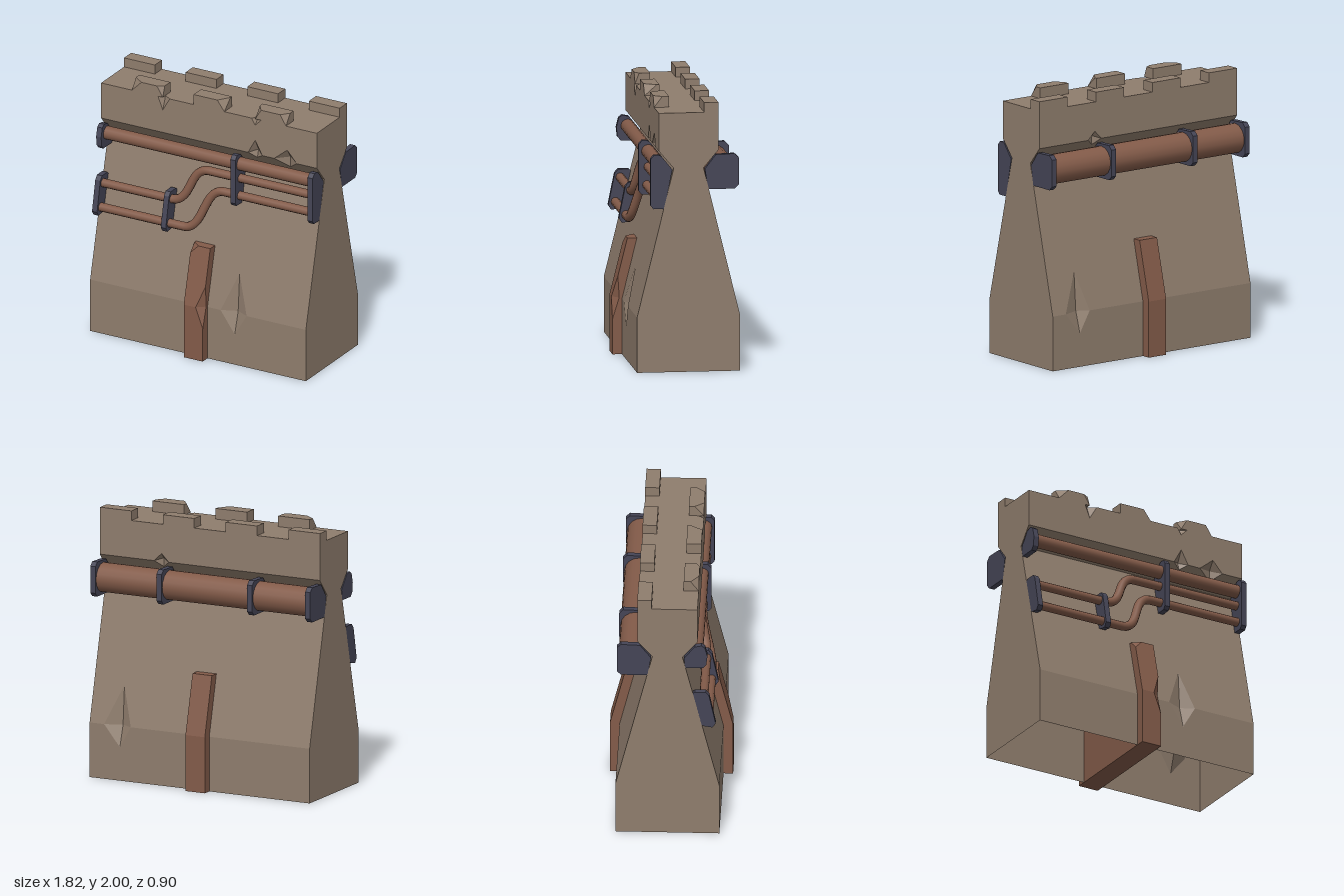
import * as THREE from 'three';
import { mergeGeometries } from 'three/addons/utils/BufferGeometryUtils.js';

const material = (name, color, side = THREE.FrontSide) => {
  const m = new THREE.MeshStandardMaterial({ color, side });
  m.name = name;
  return m;
};
const HALF = 0.91;

// Wall outline as [z, y], from the front foot over the top to the back foot
const PROFILE = [[0.38, 0], [0.38, 0.41], [0.11, 1.51], [0.22, 1.64], [0.22, 1.92],
  [-0.22, 1.92], [-0.22, 1.64], [-0.11, 1.51], [-0.38, 0.41], [-0.38, 0]];

// Chips in the wall: each sits on a profile edge and reaches into both neighbouring panels
const DENTS = [
  { edge: 1, x: [0.19, 0.31, 0.41], before: 0.17, after: 0.3, deep: [-0.05, 0] },
  { edge: 3, x: [0.33, 0.39, 0.45], before: 0.05, after: 0.11, deep: [-0.05, 0.02] },
  { edge: 3, x: [0.55, 0.66, 0.74], before: 0.08, after: 0.09, deep: [-0.05, 0.02] },
  { edge: 4, x: [-0.43, -0.39, -0.33], before: 0.1, after: 0.04, deep: [-0.03, -0.03] },
  { edge: 4, x: [0.36, 0.39, 0.44], before: 0.05, after: 0.04, deep: [-0.03, -0.02] },
  { edge: 6, x: [0.34, 0.4, 0.46], before: 0.06, after: 0.06, deep: [0.04, 0.02] },
  { edge: 8, x: [0.57, 0.66, 0.79], before: 0.3, after: 0.16, deep: [0.05, 0] },
];

function triangles(points) {
  const g = new THREE.BufferGeometry();
  g.setAttribute('position', new THREE.Float32BufferAttribute(points.flat(), 3));
  g.computeVertexNormals();
  return g;
}

// Point at x, a distance s along panel i
function onPanel(i, x, s) {
  const [a, b] = [PROFILE[i], PROFILE[i + 1]];
  const t = s / Math.hypot(b[0] - a[0], b[1] - a[1]);
  return [x, a[1] + (b[1] - a[1]) * t, a[0] + (b[0] - a[0]) * t];
}

function wallGeometry() {
  const parts = [];
  for (let i = 0; i < PROFILE.length - 1; i++) {
    const [a, b] = [PROFILE[i], PROFILE[i + 1]];
    const len = Math.hypot(b[0] - a[0], b[1] - a[1]);
    const pts = [[-HALF, 0]];
    for (const d of DENTS.filter((d) => d.edge === i))
      pts.push([d.x[0], 0], [d.x[1], d.after], [d.x[2], 0]);
    pts.push([HALF, 0], [HALF, len]);
    for (const d of DENTS.filter((d) => d.edge === i + 1).reverse())
      pts.push([d.x[2], len], [d.x[1], len - d.before], [d.x[0], len]);
    pts.push([-HALF, len]);
    const flat = new THREE.ShapeGeometry(new THREE.Shape(pts.map((p) => new THREE.Vector2(...p)))).toNonIndexed();
    const pos = flat.attributes.position;
    const out = [];
    for (let k = 0; k < pos.count; k++) out.push(onPanel(i, pos.getX(k), pos.getY(k)));
    parts.push(triangles(out));
  }
  for (const d of DENTS) {
    const [z, y] = PROFILE[d.edge];
    const prev = PROFILE[d.edge - 1];
    const len = Math.hypot(z - prev[0], y - prev[1]);
    const left = [d.x[0], y, z], right = [d.x[2], y, z];
    const low = onPanel(d.edge - 1, d.x[1], len - d.before);
    const high = onPanel(d.edge, d.x[1], d.after);
    const deep = [d.x[1], y + d.deep[1], z + d.deep[0]];
    parts.push(triangles([left, low, deep, low, right, deep, right, high, deep, high, left, deep]));
  }
  // End walls; the underside stays open
  const faces = THREE.ShapeUtils.triangulateShape(PROFILE.map((p) => new THREE.Vector2(...p)), []);
  for (const x of [-HALF, HALF])
    parts.push(triangles(faces.flat().map((k) => [x, PROFILE[k][1], PROFILE[k][0]])));
  return mergeGeometries(parts);
}

// Extrudes a [z, y] outline from x0 to x1
function slab(outline, x0, x1) {
  const shape = new THREE.Shape(outline.map((p) => new THREE.Vector2(...p)));
  return new THREE.ExtrudeGeometry(shape, { depth: x1 - x0, bevelEnabled: false })
    .rotateY(-Math.PI / 2).translate(x1, 0, 0);
}

// Rectangular section whose two front corners can be cut by [dx, dz]
function section(y, x0, x1, z0, z1, cutL = [0, 0], cutR = [0, 0]) {
  return [[x0, y, z0], [x0, y, z1 - cutL[1]], [x0 + cutL[0], y, z1],
    [x1 - cutR[0], y, z1], [x1, y, z1 - cutR[1]], [x1, y, z0]];
}

// Faceted block through stacked sections
function loft(rings) {
  const out = [];
  const n = rings[0].length;
  for (let r = 0; r < rings.length - 1; r++) {
    for (let k = 0; k < n; k++) {
      const a = rings[r][k], b = rings[r][(k + 1) % n], c = rings[r + 1][(k + 1) % n], d = rings[r + 1][k];
      out.push(a, b, c, a, c, d);
    }
  }
  const last = rings[rings.length - 1];
  for (let k = 1; k < n - 1; k++) {
    out.push(last[0], last[k], last[k + 1]);
    out.push(rings[0][0], rings[0][k + 1], rings[0][k]);
  }
  return triangles(out);
}

export function createModel() {
  const model = new THREE.Group();
  model.name = 'fortifiedWall';
  const stone = material('stone', 0x8f7d6d, THREE.DoubleSide);
  const rust = material('rust', 0x835b49);
  const iron = material('darkIron', 0x454556);
  const add = (name, geometry, mat) => {
    const mesh = new THREE.Mesh(geometry, mat);
    mesh.name = name;
    model.add(mesh);
    return mesh;
  };

  add('wall', wallGeometry(), stone);

  // Front merlons with chipped corners
  const chips = [[-0.52, [0.08, 0.06], [0.05, 0.03]], [0, [0, 0], [0.06, 0.09]], [0.52, [0.05, 0.07], [0.05, 0.06]]];
  for (const [x, l, r] of chips)
    add('frontMerlon', loft([section(1.92, x - 0.13, x + 0.13, 0.11, 0.22),
      section(2, x - 0.13, x + 0.13, 0.11, 0.22, l, r)]), stone);

  // Back merlons, offset from the front row
  for (const x of [-0.78, -0.26, 0.26, 0.78])
    add('backMerlon', new THREE.BoxGeometry(0.26, 0.072, 0.105).translate(x, 1.956, -0.1675), stone);

  // Buttresses: the plain back one runs through the wall, the front one is chipped
  add('backButtress', slab([[-0.45, 0], [0.2, 0], [0.2, 0.86], [-0.34, 0.86], [-0.45, 0.42]], -0.08, 0.08), rust);
  const rib = (y, z, l, r) => section(y, -0.08, 0.08, 0.2, z, l, r);
  add('frontButtress', loft([rib(0, 0.45), rib(0.26, 0.45), rib(0.42, 0.45, [0, 0], [0.06, 0.05]),
    rib(0.58, 0.41), rib(0.8, 0.355), rib(0.86, 0.34, [0.06, 0.05])]), rust);

  // Straight pipes
  const straightPipe = (name, y, z, radius) =>
    add(name, new THREE.CylinderGeometry(radius, radius, 1.78, 16).rotateZ(Math.PI / 2).translate(0, y, z), rust);
  straightPipe('frontMainPipe', 1.53, 0.21, 0.05);
  straightPipe('backMainPipe', 1.48, -0.25, 0.11);

  // Thin pipes stepping up along the front
  const steppedPipe = (xa, ya, za, xb, yb, zb) => {
    const v = (x, y, z) => new THREE.Vector3(x, y, z);
    const path = new THREE.CurvePath();
    const a = v(xa, ya, za), b = v(xb, yb, zb);
    path.add(new THREE.LineCurve3(v(-0.89, ya, za), a));
    path.add(new THREE.CubicBezierCurve3(a, v(xa + 0.18, ya, za), v(xb - 0.18, yb, zb), b));
    path.add(new THREE.LineCurve3(b, v(0.89, yb, zb)));
    add('steppedPipe', new THREE.TubeGeometry(path, 64, 0.033, 10), rust);
  };
  steppedPipe(-0.29, 1.15, 0.265, 0.0, 1.415, 0.21);
  steppedPipe(-0.17, 0.97, 0.3, 0.13, 1.28, 0.22);

  // Clamps holding the pipes, cut to the slope of the wall
  const clamps = [
    ['upperClamp', [0.215, 0.868], [[0.12, 1.5], [0.2, 1.6], [0.22, 1.61], [0.255, 1.61], [0.28, 1.58],
      [0.28, 1.235], [0.26, 1.21], [0.18, 1.21]]],
    ['mainPipeClamp', [-HALF], [[0.12, 1.5], [0.2, 1.6], [0.25, 1.61], [0.275, 1.59], [0.293, 1.52],
      [0.285, 1.45], [0.26, 1.42], [0.13, 1.42]]],
    ['lowerClamp', [-HALF, -0.33], [[0.25, 0.93], [0.27, 0.92], [0.33, 0.91], [0.353, 0.945],
      [0.305, 1.18], [0.28, 1.21], [0.2, 1.21], [0.18, 1.19]]],
    ['backClamp', [-HALF, -0.43, 0.32, 0.868], [[-0.12, 1.5], [-0.2, 1.605], [-0.34, 1.61], [-0.37, 1.58],
      [-0.37, 1.38], [-0.34, 1.35], [-0.145, 1.35]]],
  ];
  for (const [name, starts, outline] of clamps)
    for (const x of starts) add(name, slab(outline, x, x + 0.042), iron);

  return model;
}
